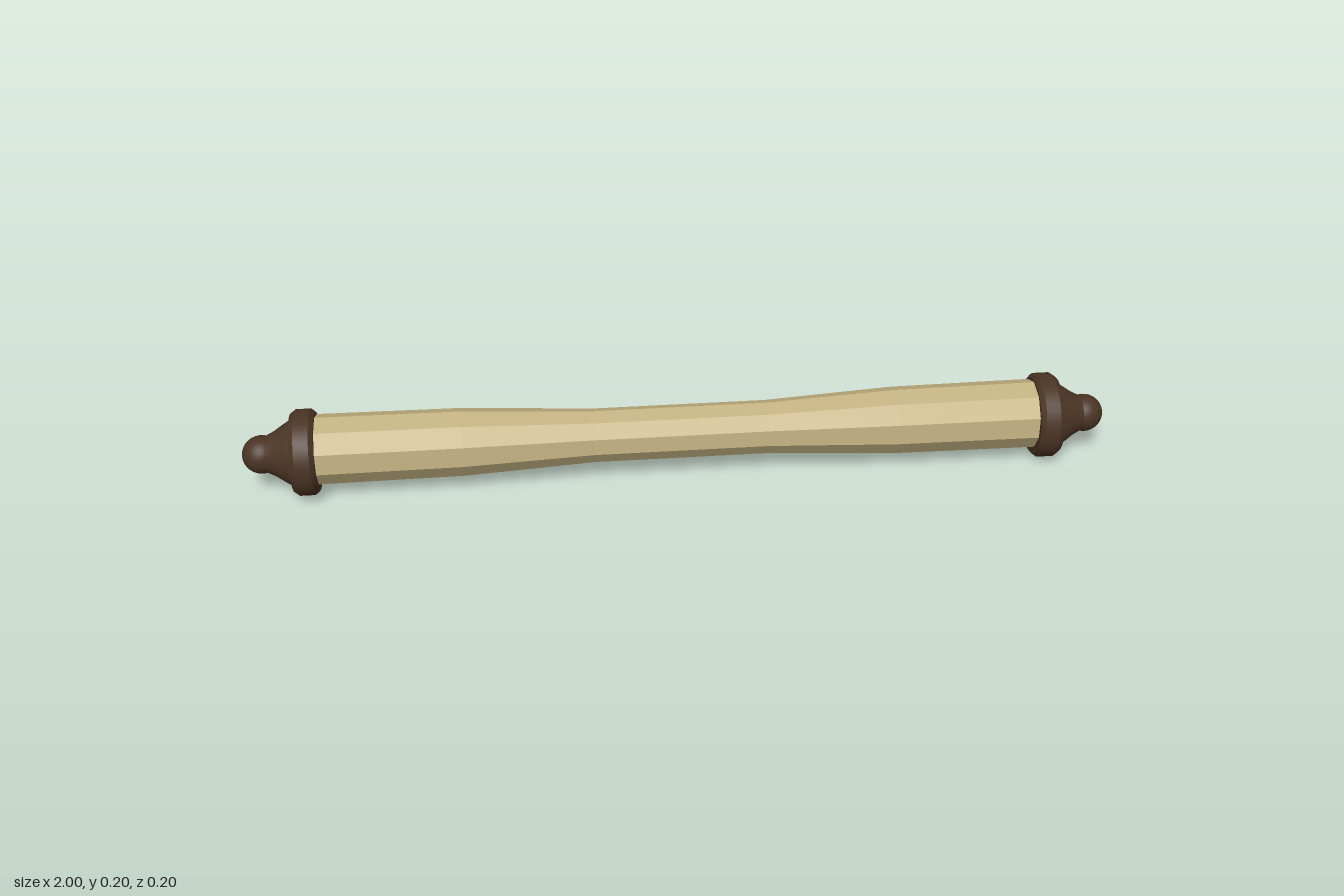
import * as THREE from 'three';

export function createModel() {
  const model = new THREE.Group();
  const paper = new THREE.MeshStandardMaterial({ color: 0xc4b282, flatShading: true, side: THREE.DoubleSide });
  const wood = new THREE.MeshStandardMaterial({ color: 0x4a3424 });
  const axisY = 0.1;

  // Rolled sheet: a faceted spiral, narrowed towards the middle
  const stations = [[-0.85, 1], [-0.5, 0.97], [-0.2, 0.77], [0.2, 0.77], [0.5, 0.97], [0.85, 1]];
  const sides = 14;
  const positions = [];
  const index = [];
  stations.forEach(([x, scale], s) => {
    for (let k = 0; k <= sides; k++) {
      const a = THREE.MathUtils.degToRad(-14 + 36 * k);
      const r = (0.072 + 0.0008 * k) * scale;
      positions.push(x, axisY + 0.004 + r * Math.sin(a), r * Math.cos(a));
      if (s > 0 && k > 0) {
        const d = s * (sides + 1) + k;
        const b = d - sides - 1;
        index.push(b - 1, d - 1, b, b, d - 1, d);
      }
    }
  });
  let sheet = new THREE.BufferGeometry();
  sheet.setAttribute('position', new THREE.Float32BufferAttribute(positions, 3));
  sheet.setIndex(index);
  sheet = sheet.toNonIndexed();
  sheet.computeVertexNormals();
  const roll = new THREE.Mesh(sheet, paper);
  roll.name = 'rolledSheet';
  model.add(roll);

  // Turned profiles run along the local y axis, outwards from the sheet
  const lathe = (points) =>
    new THREE.LatheGeometry(points.map(([r, y]) => new THREE.Vector2(r, y)), 40);
  const collar = lathe([[0, 0.83], [0.09, 0.83], [0.09, 0.83], [0.099, 0.84], [0.099, 0.84], [0.099, 0.874],
    [0.099, 0.874], [0.09, 0.886], [0.09, 0.886], [0, 0.886]]);
  const neck = lathe([[0.077, 0.884], [0.075, 0.89], [0.065, 0.906], [0.052, 0.925], [0.043, 0.943], [0.038, 0.96]]);
  const ball = new THREE.SphereGeometry(0.044, 32, 20);

  // Matching end knobs
  for (const side of [1, -1]) {
    const knob = new THREE.Group();
    knob.name = side > 0 ? 'leftKnob' : 'rightKnob';
    const parts = { collar, neck, tip: ball };
    for (const [name, geometry] of Object.entries(parts)) {
      const mesh = new THREE.Mesh(geometry, wood);
      mesh.name = name;
      if (name === 'tip') mesh.position.y = 0.956;
      knob.add(mesh);
    }
    knob.rotation.z = -side * Math.PI / 2;
    knob.position.y = axisY;
    model.add(knob);
  }
  return model;
}
